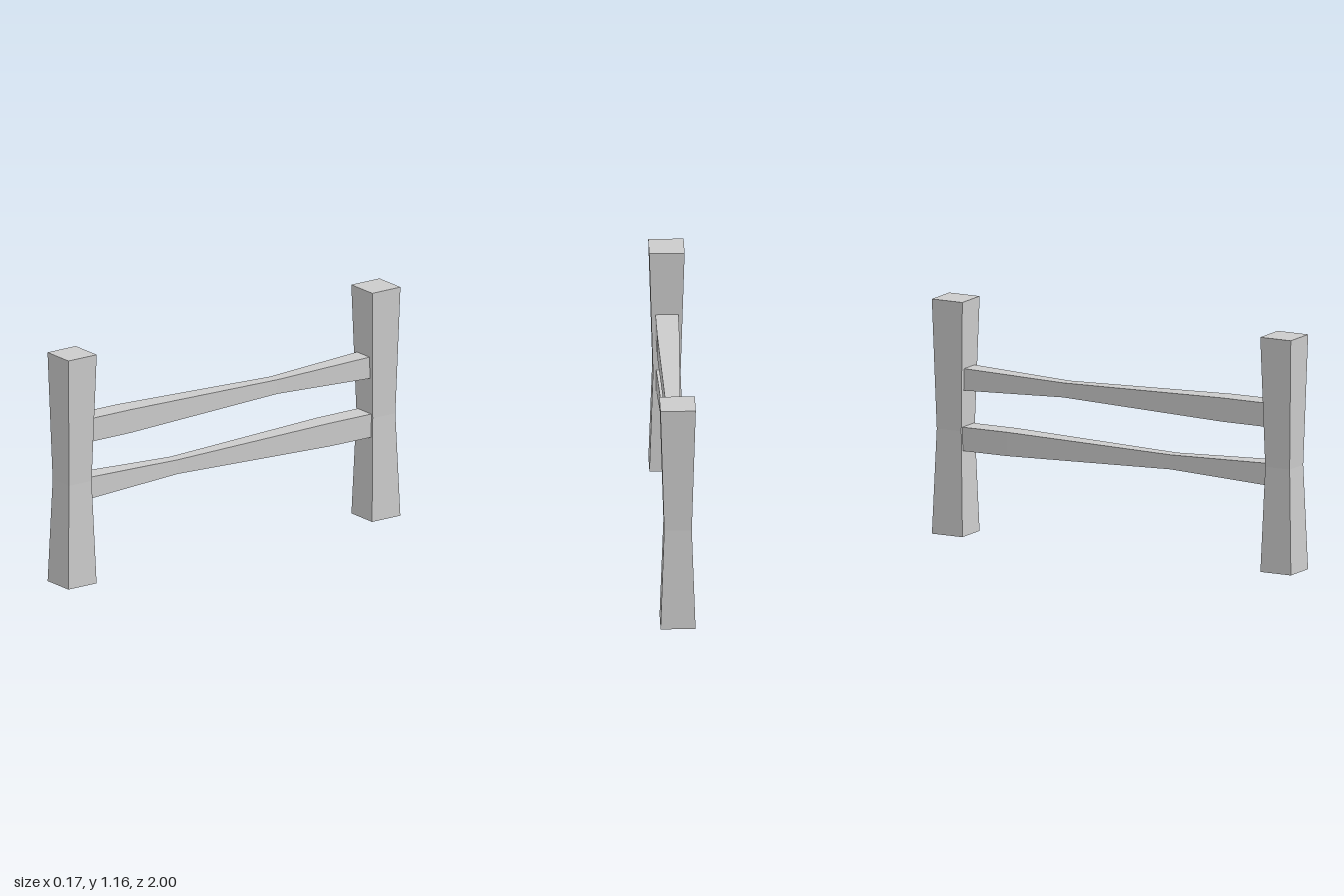
import * as THREE from 'three';

const material = new THREE.MeshStandardMaterial({ color: 0xcccccc, flatShading: true });

// Square beam along y; each section is [position, half width x, half width z]
function beam(name, sections) {
  const n = sections.length - 1;
  const geometry = new THREE.BoxGeometry(2, n, 2, 1, n, 1);
  const p = geometry.attributes.position;
  for (let i = 0; i < p.count; i++) {
    const [y, hx, hz] = sections[Math.round(p.getY(i) + n / 2)];
    p.setXYZ(i, p.getX(i) * hx, y, p.getZ(i) * hz);
  }
  geometry.computeVertexNormals();
  const mesh = new THREE.Mesh(geometry, material);
  mesh.name = name;
  return mesh;
}

export function createModel() {
  const fence = new THREE.Group();
  fence.name = 'fence';

  // Posts, pinched slightly below the middle
  for (const side of [1, -1]) {
    const post = beam(side > 0 ? 'frontPost' : 'backPost', [
      [0, 0.085, 0.085],
      [0.52, 0.067, 0.068],
      [1.165, 0.086, 0.085],
    ]);
    post.position.z = side * 0.915;
    fence.add(post);
  }

  // Rails, each with an off-centre waist; the lower one is turned end for end
  const railSections = [
    [-0.88, 0.053, 0.056],
    [-0.3, 0.031, 0.036],
    [0.6, 0.054, 0.059],
    [0.88, 0.056, 0.059],
  ];
  for (const [name, y, turn] of [['upperRail', 0.775, 0], ['lowerRail', 0.48, Math.PI]]) {
    const rail = beam(name, railSections);
    rail.geometry.rotateX(Math.PI / 2).rotateY(turn);
    rail.position.y = y;
    fence.add(rail);
  }
  return fence;
}
